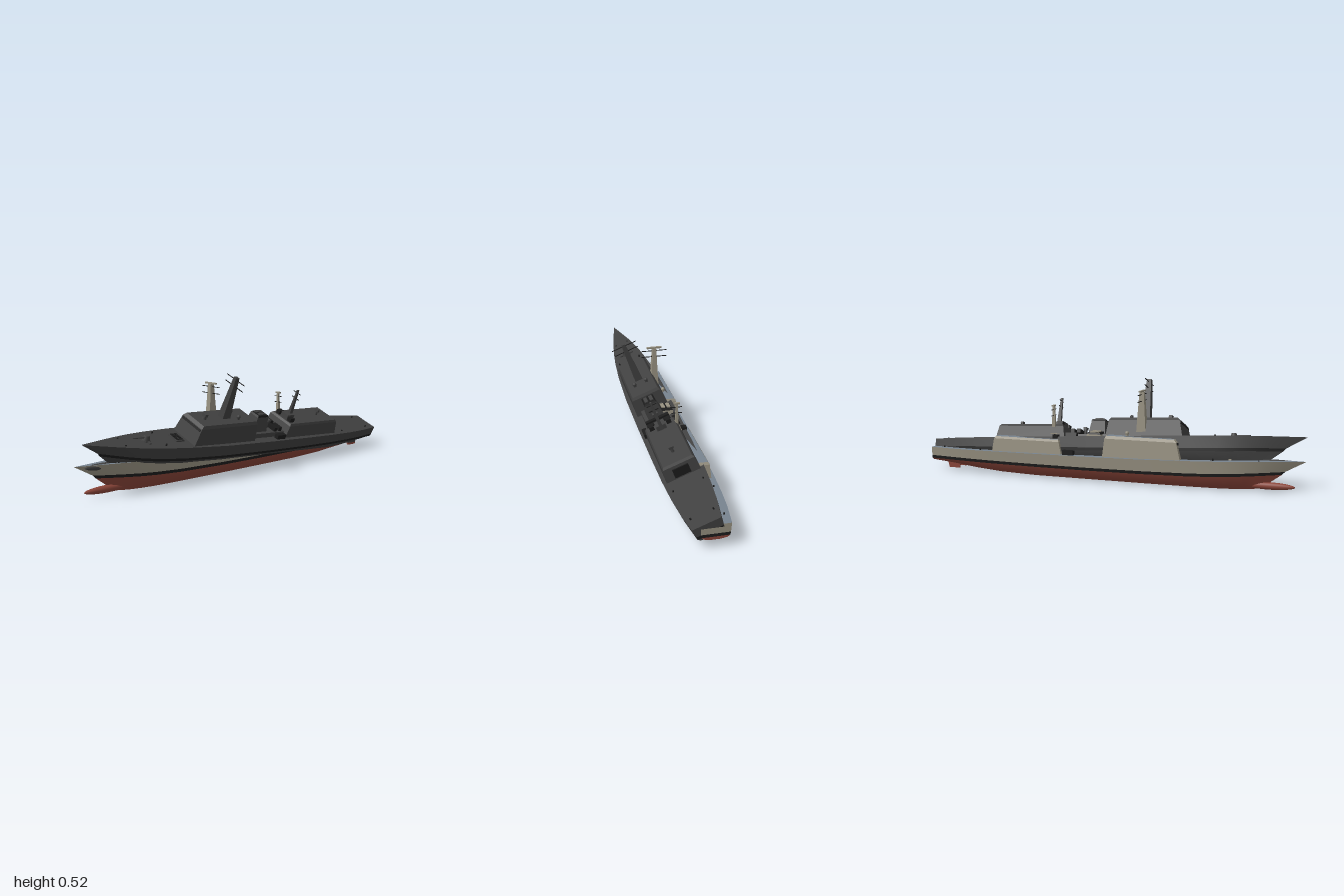
import * as THREE from 'three';
import { mergeGeometries } from 'three/addons/utils/BufferGeometryUtils.js';

const mat = (name, color) => Object.assign(new THREE.MeshStandardMaterial({ color }), { name });

// Hull stations: z, half breadth, deck height, waterline height, keel height
const STATIONS = [
  [-1, 0.07, 0.12, 0.06, 0.045], [-0.87, 0.088, 0.121, 0.06, 0.032], [-0.75, 0.098, 0.122, 0.059, 0.018],
  [-0.6, 0.105, 0.124, 0.058, 0.006], [-0.4, 0.108, 0.126, 0.057, 0], [-0.1, 0.109, 0.129, 0.057, 0],
  [0.2, 0.107, 0.133, 0.059, 0], [0.45, 0.095, 0.139, 0.062, 0], [0.6, 0.081, 0.143, 0.066, 0],
  [0.7, 0.067, 0.146, 0.07, 0.001], [0.8, 0.048, 0.149, 0.075, 0.003], [0.9, 0.025, 0.152, 0.08, 0.007],
  [1, 0.001, 0.155, 0.085, 0.012],
];

// Five points up one side of a section, raked forward towards the stem
function section([z, b, deck, water, keel], side) {
  const f = Math.max(0, (z - 0.3) / 0.7);
  const rake = f * f;
  const fine = (w, bow) => b * (w + (bow - w) * rake);
  return [
    [fine(0.3, 0.06), keel, 0.21],
    [fine(0.74, 0.5), keel + (water - keel) * 0.36, 0.18],
    [fine(0.92, 0.85), water, 0.115],
    [fine(0.95, 0.88), water + 0.015, 0.1],
    [b, deck, 0],
  ].map(([x, y, r]) => [side * x, y, z - r * rake]);
}

// Surface through a grid of points
function grid(rows) {
  const n = rows[0].length, index = [];
  for (let i = 0; i < rows.length - 1; i++) {
    for (let j = 0; j < n - 1; j++) {
      const a = i * n + j, b = a + n;
      index.push(a, a + 1, b + 1, a, b + 1, b);
    }
  }
  const g = new THREE.BufferGeometry();
  g.setAttribute('position', new THREE.Float32BufferAttribute(rows.flat(2), 3));
  g.setIndex(index);
  g.computeVertexNormals();
  return g;
}

// Box whose bottom and top are [width, zBack, zFront]
function taper(bottom, top, y0, y1, x = 0) {
  const g = new THREE.BoxGeometry(1, 1, 1), p = g.attributes.position;
  for (let i = 0; i < p.count; i++) {
    const [w, z0, z1] = p.getY(i) > 0 ? top : bottom;
    p.setXYZ(i, x + p.getX(i) * w, p.getY(i) > 0 ? y1 : y0, p.getZ(i) > 0 ? z1 : z0);
  }
  g.computeVertexNormals();
  return g;
}

function buildShip(name, c, topBars) {
  const ship = new THREE.Group();
  ship.name = name;
  const add = (part, geometry, material) => {
    const mesh = new THREE.Mesh(geometry, material);
    mesh.name = part;
    ship.add(mesh);
    return mesh;
  };
  const roofed = [c.side, c.side, c.deck, c.side, c.side, c.side];
  const box = (part, w, h, d, x, y, z, m = c.side) =>
    add(part, new THREE.BoxGeometry(w, h, d).translate(x, y, z), m);
  const post = (part, r0, r1, h, x, y, z, m = c.side, sides = 12) =>
    add(part, new THREE.CylinderGeometry(r1, r0, h, sides).translate(x, y + h / 2, z), m);

  // Hull in painted bands
  const R = STATIONS.map(s => section(s, 1)), L = STATIONS.map(s => section(s, -1));
  const band = (part, a, b, m, extra = []) => {
    const stern = [];
    for (let k = a; k <= b; k++) stern.push([R[0][k], L[0][k]]);
    add(part, mergeGeometries([
      grid(R.map(s => s.slice(a, b + 1))),
      grid(L.map(s => s.slice(a, b + 1).reverse())),
      grid(stern), ...extra]), m);
  };
  band('lowerHull', 0, 2, c.bottom, [grid(R.map((s, i) => [L[i][0], s[0]]))]);
  band('waterlineStripe', 2, 3, c.black);
  band('upperHull', 3, 4, c.side);
  add('mainDeck', grid(R.map((s, i) => [s[4], L[i][4]])), c.deck);

  // Bulb, rudders and anchors
  add('bowBulb', new THREE.SphereGeometry(1, 20, 14).scale(0.018, 0.018, 0.13).translate(0, 0.027, 0.82), c.bottom);
  for (const s of [-1, 1]) {
    add('rudder', taper([0.008, -0.91, -0.85], [0.01, -0.92, -0.84], 0.01, 0.05, s * 0.035), c.bottom);
    box('anchor', 0.008, 0.014, 0.01, s * 0.063, 0.093, 0.62, c.black);
  }

  // Forward deckhouse with chamfered roof and bridge windows
  add('forwardDeckhouse', taper([0.174, -0.005, 0.405], [0.156, 0.005, 0.38], 0.125, 0.222), c.side);
  add('forwardRoof', taper([0.156, 0.005, 0.38], [0.14, 0.012, 0.366], 0.222, 0.236), roofed);
  add('bridgeWindows', taper([0.145, 0.37, 0.3865], [0.143, 0.37, 0.3835], 0.208, 0.218), c.black);

  // Aft deckhouse and hangar door
  add('aftDeckhouse', taper([0.174, -0.625, -0.228], [0.16, -0.615, -0.245], 0.12, 0.19), c.side);
  add('aftRoof', taper([0.16, -0.615, -0.245], [0.146, -0.607, -0.252], 0.19, 0.201), roofed);
  box('hangarDoor', 0.08, 0.048, 0.006, 0, 0.153, -0.621, c.black);

  // Midship platform, funnel and launchers
  add('midPlatform', taper([0.13, -0.24, 0.01], [0.12, -0.24, 0.01], 0.12, 0.152), roofed);
  add('funnel', taper([0.084, -0.118, -0.022], [0.062, -0.108, -0.034], 0.15, 0.232), c.side);
  add('funnelCap', taper([0.064, -0.109, -0.033], [0.056, -0.104, -0.038], 0.232, 0.241), c.black);
  for (const s of [-1, 1]) {
    box('funnelOutlet', 0.018, 0.006, 0.045, s * 0.014, 0.243, -0.071);
    box('launcherRack', 0.055, 0.02, 0.02, s * 0.035, 0.169, -0.162, c.black);
    box('launcherRack', 0.055, 0.02, 0.02, s * 0.035, 0.169, -0.196, c.black);
    box('sideLocker', 0.024, 0.025, 0.06, s * 0.083, 0.139, -0.19, c.black);
  }
  post('decoyMount', 0.012, 0.009, 0.04, 0, 0.15, -0.15);
  box('decoyHead', 0.03, 0.012, 0.018, 0, 0.194, -0.15);

  // Masts with thin crossed yards
  const mast = (part, z, y0, y1, w0, w1, yards, half) => {
    add(part, taper([w0, z - w0 * 0.65, z + w0 * 0.65], [w1, z - w1 * 0.6, z + w1 * 0.6], y0, y1), c.side);
    for (const y of yards) box(part + 'Yard', half * 2, 0.003, 0.004, 0, y, z, c.black);
    if (topBars) box(part + 'TopBar', half * 1.18, 0.008, 0.012, 0, y1 + 0.004, z);
  };
  mast('mainMast', 0.178, 0.234, 0.456, 0.04, 0.019, [0.41, 0.443], 0.067);
  mast('aftMast', -0.305, 0.198, 0.362, 0.018, 0.009, [0.315, 0.346], 0.026);
  box('aftMastHouse', 0.05, 0.028, 0.05, 0, 0.212, -0.29);
  for (const s of [-1, 1]) {
    box('aftSensor', 0.024, 0.022, 0.03, s * 0.045, 0.211, -0.275, c.black);
    post('domeBase', 0.008, 0.008, 0.01, s * 0.032, 0.235, 0.11);
    add('dome', new THREE.SphereGeometry(0.01, 12, 8).translate(s * 0.032, 0.249, 0.11), c.side);
  }
  post('fireDirector', 0.012, 0.008, 0.018, 0, 0.235, 0.31);
  box('directorHead', 0.026, 0.014, 0.018, 0, 0.256, 0.31);
  post('aftDirector', 0.008, 0.006, 0.022, 0, 0.2, -0.52);
  box('aftDirectorHead', 0.024, 0.012, 0.014, 0, 0.226, -0.52);

  // Foredeck gun and vertical launch hatches
  post('gunBase', 0.026, 0.024, 0.008, 0, 0.14, 0.64);
  post('gunTurret', 0.021, 0.013, 0.024, 0, 0.148, 0.64);
  add('gunBarrel', new THREE.CylinderGeometry(0.003, 0.004, 0.075, 8).rotateX(Math.PI / 2).translate(0, 0.162, 0.685), c.side);
  box('gunShield', 0.08, 0.006, 0.012, 0, 0.148, 0.64);
  box('hatchBlock', 0.07, 0.014, 0.05, 0, 0.14, 0.455);
  for (let i = 0; i < 8; i++) {
    box('launchHatch', 0.012, 0.003, 0.017, -0.024 + (i % 4) * 0.016, 0.148, i < 4 ? 0.444 : 0.466, c.black);
  }

  // Small deck bollards
  for (const s of [-1, 1]) {
    for (const [x, z] of [[0.035, 0.78], [0.06, 0.56], [0.075, -0.7], [0.055, -0.93]]) {
      post('bollard', 0.004, 0.004, 0.01, s * x, z > 0 ? 0.142 : 0.119, z, c.black, 8);
    }
  }
  return ship;
}

export function createModel() {
  const black = mat('black', 0x1c1c1c), dark = mat('charcoal', 0x404040);
  const model = new THREE.Group();
  model.name = 'pairOfWarships';

  // Upright painted ship
  const painted = buildShip('paintedShip', {
    side: mat('warmGrey', 0x969080), deck: mat('blueGrey', 0x77838f),
    bottom: mat('hullRed', 0x8a4539), black,
  }, true);
  painted.position.x = -0.06;

  // Dark ship of the same design, heeled over with its bow raised
  const heeled = buildShip('darkShip', { side: dark, deck: dark, bottom: dark, black }, false);
  heeled.position.set(-0.06, 0.07, 0.003);
  heeled.rotation.set(-0.05, 0, -0.38);

  model.add(painted, heeled);
  return model;
}
